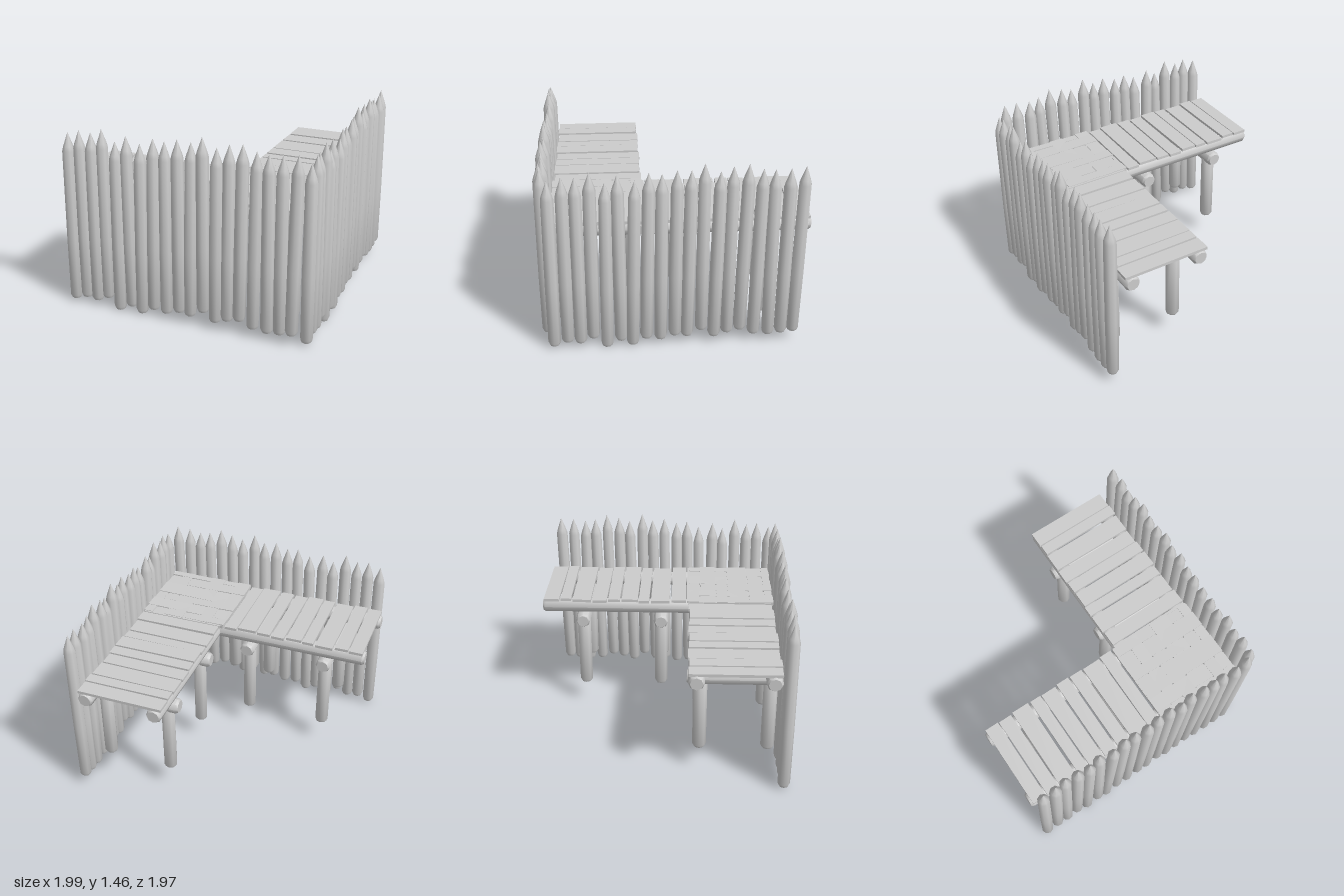
import * as THREE from 'three';
import { toCreasedNormals } from 'three/addons/utils/BufferGeometryUtils.js';

const material = new THREE.MeshStandardMaterial({ color: 0xcccccc });
const UP = new THREE.Vector3(0, 1, 0);

function add(parent, name, geometry) {
  const mesh = new THREE.Mesh(geometry, material);
  mesh.name = name;
  parent.add(mesh);
  return mesh;
}

// Round timber, eight-sided, standing on its own origin
function turned(profile) {
  const points = profile.map(([r, y]) => new THREE.Vector2(r, y));
  return toCreasedNormals(new THREE.LatheGeometry(points, 8), 0.9);
}

// Log with bevelled ends running from a to b
function log(parent, name, a, b, r) {
  const start = new THREE.Vector3(...a);
  const dir = new THREE.Vector3(...b).sub(start);
  const len = dir.length();
  const mesh = add(parent, name, turned([
    [0, 0], [r * 0.8, 0], [r, 0.02], [r, len - 0.02], [r * 0.8, len], [0, len],
  ]));
  mesh.position.copy(start);
  mesh.quaternion.setFromUnitVectors(UP, dir.normalize());
}

// Board between two x and two z limits, with its top at y
function plank(parent, name, x0, x1, z0, z1, y, turn = 0) {
  const mesh = add(parent, name, new THREE.BoxGeometry(x1 - x0, 0.022, z1 - z0));
  mesh.position.set((x0 + x1) / 2, y - 0.011, (z0 + z1) / 2);
  mesh.rotation.y = turn;
  return mesh;
}

// Pointed stakes: foot x, tip x, foot height
const STAKES = [
  [-0.93, -0.92, 0.03], [-0.83, -0.82, 0.06], [-0.735, -0.73, 0.05], [-0.64, -0.63, 0.09],
  [-0.54, -0.525, 0.01], [-0.435, -0.44, 0.06], [-0.35, -0.32, 0.02], [-0.25, -0.22, 0.07],
  [-0.145, -0.13, 0.06], [-0.04, -0.025, 0.09], [0.05, 0.075, 0.08], [0.155, 0.165, 0.13],
  [0.25, 0.275, 0.07], [0.345, 0.365, 0.1], [0.44, 0.47, 0.12], [0.545, 0.57, 0.08],
  [0.655, 0.655, 0.07], [0.75, 0.76, 0.08], [0.84, 0.865, 0.09],
];

function stakeWall(name) {
  const wall = new THREE.Group();
  wall.name = name;
  const geometry = turned([
    [0, 0], [0.036, 0], [0.047, 0.025], [0.049, 0.5], [0.046, 1.2], [0.037, 1.235], [0, 1.34],
  ]);
  STAKES.forEach(([foot, tip, y], i) => {
    const stake = add(wall, 'stake', geometry);
    stake.position.set(foot, y, 0.925);
    stake.rotation.set(0.006 * Math.sin(i * 2.3), i * 1.1, (foot - tip) / 1.34, 'XZY');
  });
  return wall;
}

// Beams, cross logs and posts of the walkway along x
function walkwayFrame(name) {
  const frame = new THREE.Group();
  frame.name = name;
  for (const z of [0.26, 0.81]) log(frame, 'beam', [-0.995, 0.93, z], [0.87, 0.93, z], 0.06);
  for (const x of [-0.67, -0.03]) {
    log(frame, 'crossLog', [x, 0.81, 0.19], [x, 0.81, 0.875], 0.06);
    for (const z of [0.29, 0.81]) log(frame, 'post', [x, 0.2, z], [x, 0.8, z], 0.053);
  }
  return frame;
}

export function createModel() {
  const model = new THREE.Group();
  model.name = 'palisadeCorner';

  // Two stake walls meeting at the corner
  model.add(stakeWall('frontWall'));
  const sideWall = stakeWall('sideWall');
  sideWall.rotation.y = Math.PI / 2;
  sideWall.position.set(0.015, 0, -0.05);
  model.add(sideWall);

  // Two walkway frames, the second turned a quarter
  model.add(walkwayFrame('frontFrame'));
  const sideFrame = walkwayFrame('sideFrame');
  sideFrame.rotation.y = Math.PI / 2;
  sideFrame.scale.z = 1;
  model.add(sideFrame);
  // Beam and arm of the side frame run towards -z
  sideFrame.rotation.y = -Math.PI / 2;
  sideFrame.scale.z = -1;

  // Posts under the corner deck
  for (const [x, z] of [[0.81, 0.81], [0.81, 0.29], [0.29, 0.81]]) {
    log(model, 'cornerPost', [x, 0.2, z], [x, 0.9, z], 0.053);
  }

  // Walkway planks: limits along the run
  const frontRuns = [
    [-0.98, -0.87], [-0.86, -0.755], [-0.74, -0.6], [-0.58, -0.49], [-0.48, -0.355],
    [-0.34, -0.235], [-0.22, -0.115], [-0.1, 0.05], [0.06, 0.16], [0.175, 0.2],
  ];
  frontRuns.forEach(([a, b], i) => {
    const s = Math.sin(i * 2.1);
    plank(model, 'frontPlank', a, b, 0.202 + 0.006 * s, 0.866 + 0.005 * s, 1.003 + 0.004 * s, 0.006 * s);
  });
  const sideRuns = [
    [-0.985, -0.86], [-0.85, -0.765], [-0.75, -0.6], [-0.585, -0.47], [-0.46, -0.365],
    [-0.35, -0.22], [-0.21, -0.125], [-0.11, 0.04], [0.055, 0.17], [0.18, 0.2],
  ];
  sideRuns.forEach(([a, b], i) => {
    const s = Math.sin(i * 1.7);
    plank(model, 'sidePlank', 0.2 + 0.004 * s, 0.866 + 0.005 * s, a, b, 1.003 + 0.004 * s, 0.006 * s);
  });

  // Corner deck: boards laid both ways, slightly tilted so they weave
  const xCuts = [0.175, 0.295, 0.405, 0.53, 0.695, 0.795, 0.88];
  const zCuts = [0.195, 0.285, 0.42, 0.515, 0.685, 0.81, 0.88];
  for (let i = 0; i < 6; i++) {
    const tilt = (i % 2 ? 1 : -1) * 0.012;
    const along = plank(model, 'cornerPlank', xCuts[i] + 0.005, xCuts[i + 1] - 0.005, 0.195, 0.88, 1.004);
    along.rotation.x = tilt;
    const across = plank(model, 'cornerPlank', 0.175, 0.88, zCuts[i] + 0.005, zCuts[i + 1] - 0.005, 1.006);
    across.rotation.z = tilt;
  }
  return model;
}
